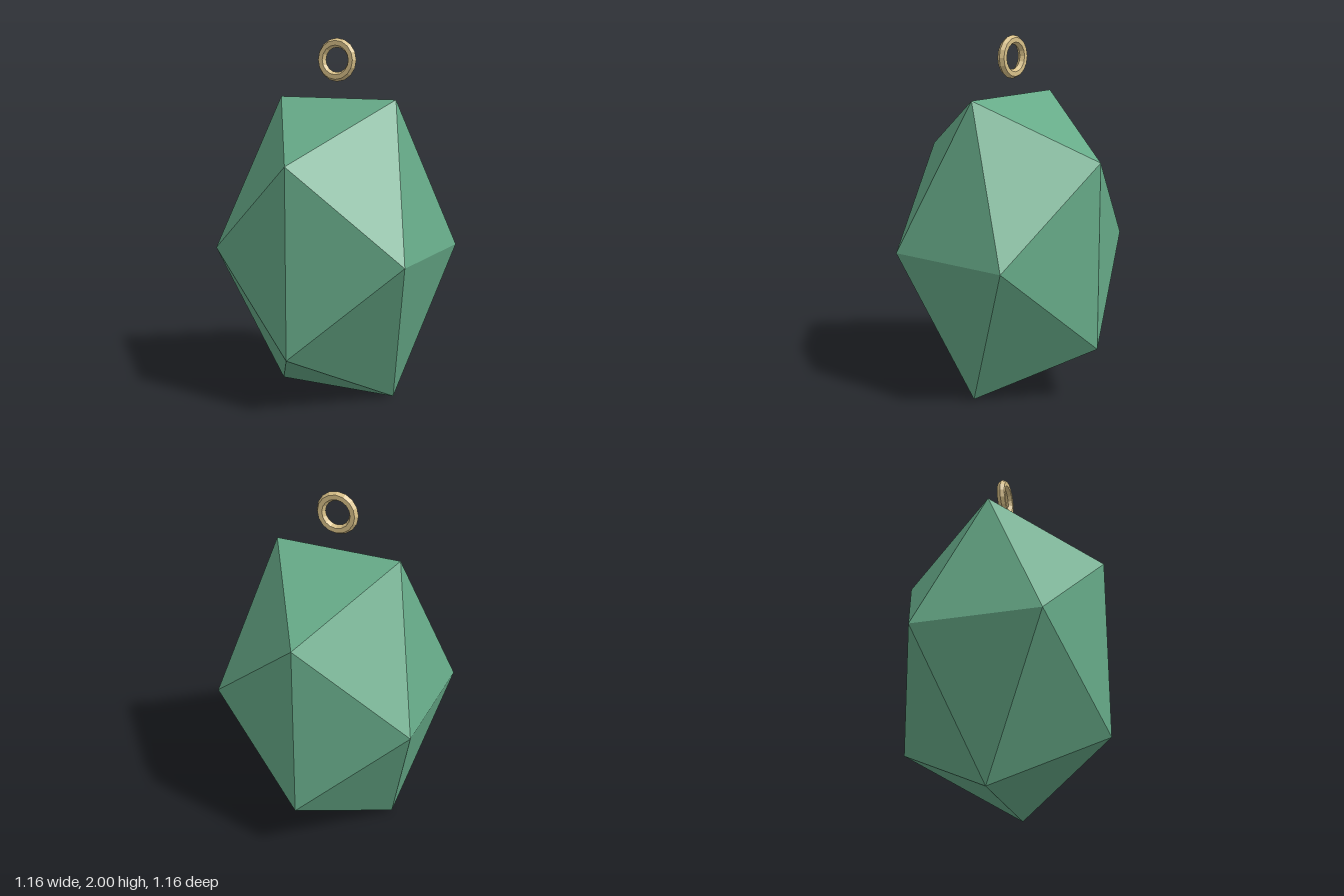
import * as THREE from 'three';

export function createModel() {
  const group = new THREE.Group();
  const green = new THREE.MeshStandardMaterial({ color: 0x66aa88, flatShading: true });
  green.name = 'gem green';
  const gold = new THREE.MeshStandardMaterial({ color: 0xd8c088, flatShading: true });
  gold.name = 'pale gold';

  // Gem: icosahedron stretched upward, resting on its lower edge
  const halfHeight = 0.836;
  const radius = 0.682;
  const gemGeometry = new THREE.IcosahedronGeometry(radius, 0);
  gemGeometry.computeBoundingBox();
  gemGeometry.scale(1, halfHeight / gemGeometry.boundingBox.max.y, 1);
  const gem = new THREE.Mesh(gemGeometry, green);
  gem.name = 'gem';
  gem.position.y = halfHeight;
  group.add(gem);

  // Hanging ring: six-sided tube floating above the gem
  const ring = new THREE.Mesh(new THREE.TorusGeometry(0.0935, 0.0255, 6, 16), gold);
  ring.name = 'hangingRing';
  ring.position.y = 1.881;
  group.add(ring);

  return group;
}
